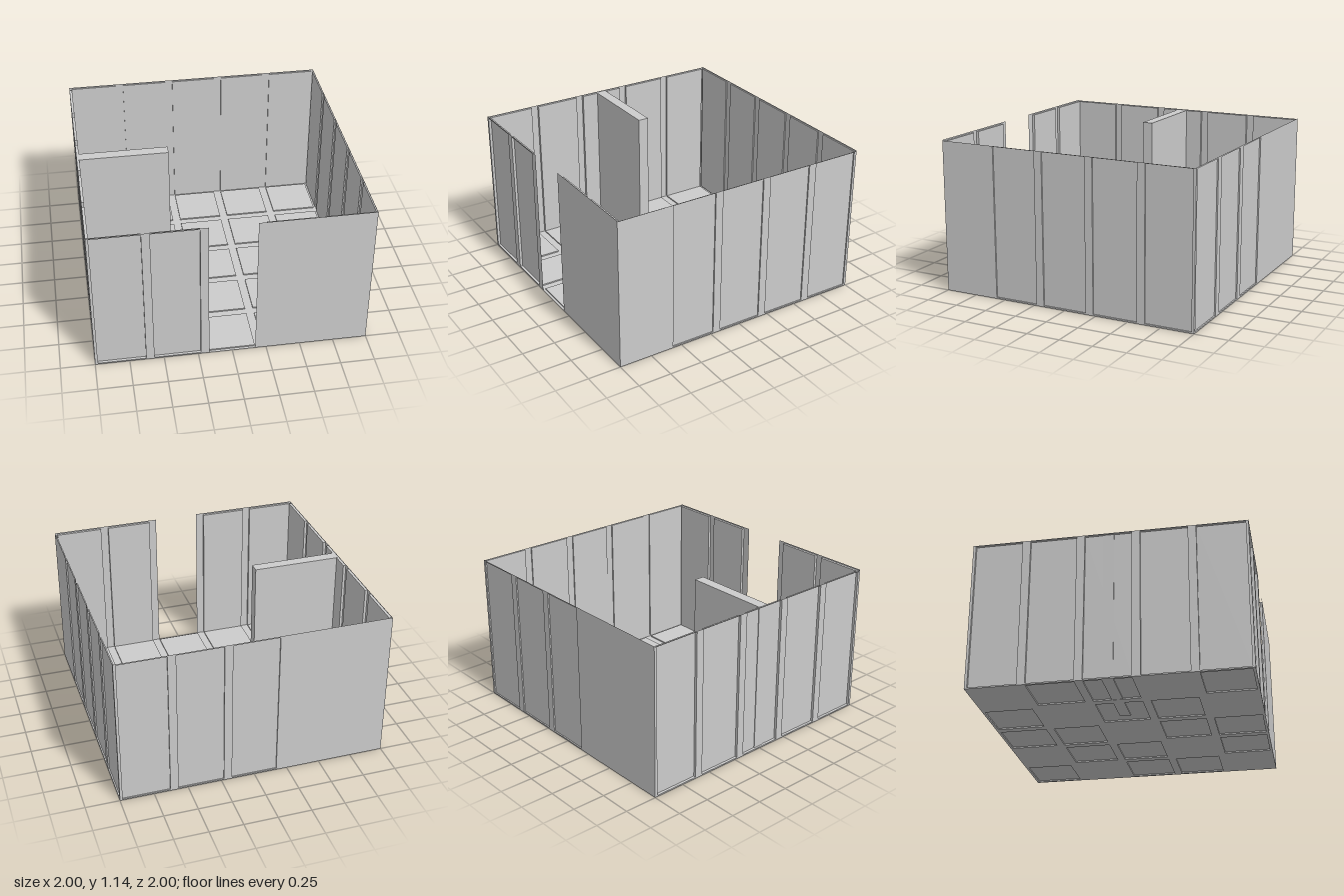
import * as THREE from 'three';

const material = new THREE.MeshStandardMaterial({ color: 0xcccccc, flatShading: true, side: THREE.DoubleSide });

function add(parent, geometry, name, x = 0, y = 0, z = 0) {
  const mesh = new THREE.Mesh(geometry, material);
  mesh.name = name;
  mesh.position.set(x, y, z);
  parent.add(mesh);
  return mesh;
}

// Extent of one of the five bays, leaving narrow posts between them
function bay(i) {
  const c = -0.8 + 0.4 * i;
  return [Math.max(c - 0.17, -0.98) - (i === 0 ? 0.01 : 0), Math.min(c + 0.17, 0.98) + (i === 4 ? 0.01 : 0)];
}

// Thin sheet facing +z with rectangular holes
function sheet(x0, x1, y0, y1, holes) {
  const rect = (P, a, b, c, d) => {
    const p = new P();
    p.moveTo(a, c); p.lineTo(b, c); p.lineTo(b, d); p.lineTo(a, d); p.closePath();
    return p;
  };
  const shape = rect(THREE.Shape, x0, x1, y0, y1);
  shape.holes = holes.map(h => rect(THREE.Path, ...h));
  return new THREE.ShapeGeometry(shape);
}

// Shallow tray, open toward +z, pressed inward from the sheet
function tray([x0, x1, y0, y1], depth) {
  const g = new THREE.BoxGeometry(x1 - x0, y1 - y0, depth);
  const index = Array.from(g.index.array);
  index.splice(24, 6);
  g.setIndex(index);
  g.clearGroups();
  g.translate((x0 + x1) / 2, (y0 + y1) / 2, -depth / 2);
  return g;
}

// Wall made of sheet runs with pressed panels; covered bays are flat outside
function wall(name, { depth, top, covered = [], runs = [[-1, 1]], open = -1 }) {
  const group = new THREE.Group();
  group.name = name;
  const cells = [0, 1, 2, 3, 4].map(i => [...bay(i), 0.01, 1.13]);
  for (const [x0, x1] of runs) {
    const holes = cells.filter((c, i) => i !== open && !covered.includes(i) && c[0] > x0 && c[1] < x1);
    add(group, sheet(x0, x1, 0, top, holes), 'wallSheet');
  }
  cells.forEach((c, i) => { if (i !== open) add(group, tray(c, depth), 'wallPanel'); });
  return group;
}

export function createModel() {
  const model = new THREE.Group();
  model.name = 'room';

  // Front wall with full-height doorway
  const front = wall('frontWall', { depth: 0.02, top: 1.14, covered: [3, 4], runs: [[-1, -0.17], [0.17, 1]], open: 2 });
  front.position.z = 1;

  const leftWall = wall('leftWall', { depth: 0.01, top: 1.135, covered: [0] });
  leftWall.rotation.y = Math.PI / 2;
  leftWall.position.x = 1;

  const back = wall('backWall', { depth: 0.01, top: 1.14, covered: [3, 4] });
  back.rotation.y = Math.PI;
  back.position.z = -1;

  const rightWall = wall('rightWall', { depth: 0.02, top: 1.135 });
  rightWall.rotation.y = -Math.PI / 2;
  rightWall.position.x = -1;

  // Floor with pressed panels, some flat underneath
  const floor = new THREE.Group();
  floor.name = 'floor';
  const holes = [];
  for (let i = 0; i < 5; i++) {
    for (let j = 0; j < 5; j++) {
      const cell = [...bay(i), ...bay(j)];
      if ((i * 2 + j) % 3) holes.push(cell);
      add(floor, tray(cell, 0.01), 'floorPanel');
    }
  }
  add(floor, sheet(-1, 1, -1, 1, holes), 'floorSheet');
  floor.rotation.x = Math.PI / 2;

  model.add(front, leftWall, back, rightWall, floor);

  // Partition joining the right wall
  add(model, new THREE.BoxGeometry(0.66, 1.13, 0.08), 'partition', -0.655, 0.567, 0);
  return model;
}
